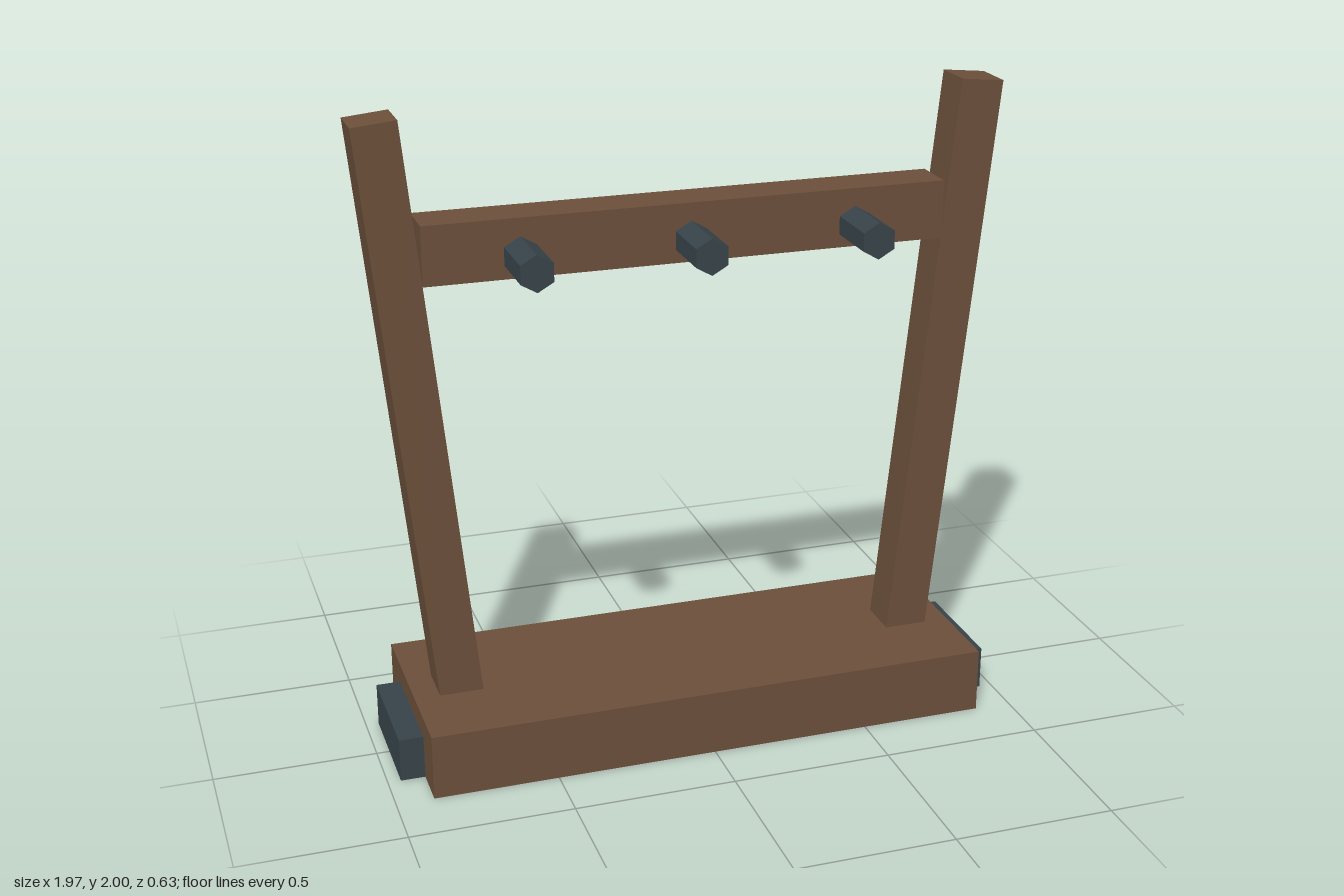
import * as THREE from 'three';

export function createModel() {
  const model = new THREE.Group();
  const wood = new THREE.MeshStandardMaterial({ color: 0x6b4f3a, flatShading: true });
  const iron = new THREE.MeshStandardMaterial({ color: 0x374349, flatShading: true });

  function add(name, geometry, material, x, y, z) {
    const mesh = new THREE.Mesh(geometry, material);
    mesh.name = name;
    mesh.position.set(x, y, z);
    model.add(mesh);
    return mesh;
  }

  // Heavy plank base
  add('base', new THREE.BoxGeometry(1.77, 0.205, 0.63), wood, 0, 0.1025, 0);

  // Feet and outward-leaning posts, mirrored left and right
  const lean = 0.1;
  const postLength = 1.9;
  for (const [side, s] of [['left', 1], ['right', -1]]) {
    add(side + 'Foot', new THREE.BoxGeometry(0.3, 0.138, 0.366), iron, s * 0.81, 0.069, 0);

    const post = new THREE.BoxGeometry(0.135, postLength, 0.136);
    post.translate(0, -postLength / 2, 0); // pivot at the top
    add(side + 'Post', post, wood, s * 0.918, 1.9935, 0).rotation.z = -s * lean;
  }

  // Crossbar between the posts
  add('crossbar', new THREE.BoxGeometry(1.605, 0.18, 0.144), wood, 0, 1.604, 0);

  // Hexagonal pegs on the front of the crossbar
  const peg = new THREE.CylinderGeometry(0.056, 0.056, 0.24, 6);
  peg.rotateX(Math.PI / 2);
  ['rightPeg', 'middlePeg', 'leftPeg'].forEach((name, i) => {
    add(name, peg, iron, (i - 1) * 0.515, 1.583, 0.142);
  });

  return model;
}
